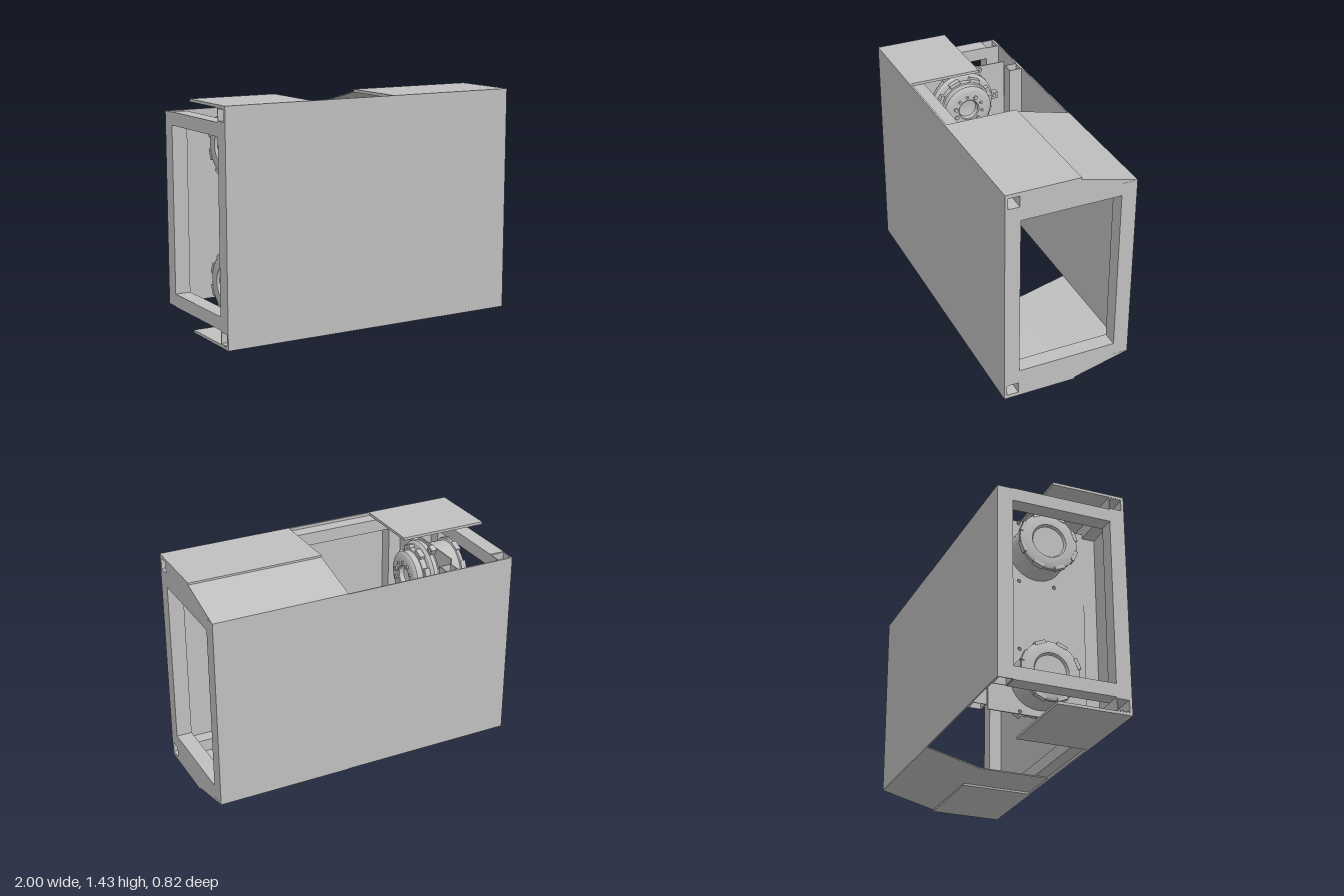
import * as THREE from 'three';
import { toCreasedNormals } from 'three/addons/utils/BufferGeometryUtils.js';

const H = 1.43; // overall height
const MID = H / 2;

export function createModel() {
  const root = new THREE.Group();
  root.name = 'machineEnclosure';
  const metal = new THREE.MeshStandardMaterial({ color: 0xbfbfbf });
  metal.name = 'bareMetal';

  const add = (name, geo, parent = root) => {
    const m = new THREE.Mesh(geo, metal);
    m.name = name;
    parent.add(m);
    return m;
  };

  // Box given by its limits
  const box = (name, x0, x1, y0, y1, z0, z1, parent) => {
    const g = new THREE.BoxGeometry(x1 - x0, y1 - y0, z1 - z0);
    g.translate((x0 + x1) / 2, (y0 + y1) / 2, (z0 + z1) / 2);
    return add(name, g, parent);
  };

  const rect = (w, h, P = THREE.Shape) => {
    const p = new P();
    p.moveTo(-w / 2, -h / 2);
    p.lineTo(w / 2, -h / 2);
    p.lineTo(w / 2, h / 2);
    p.lineTo(-w / 2, h / 2);
    p.closePath();
    return p;
  };

  const circleHole = (x, y, r) => {
    const p = new THREE.Path();
    p.absarc(x, y, r, 0, Math.PI * 2, true);
    return p;
  };

  // Extrude a (-z, y) section along x, from x0 to x1
  const extrudeX = (shape, x0, x1, seg = 12) => {
    const g = new THREE.ExtrudeGeometry(shape, { depth: x1 - x0, bevelEnabled: false, curveSegments: seg });
    g.rotateY(Math.PI / 2);
    g.translate(x0, 0, 0);
    return g;
  };

  // Hollow rectangular tube along an axis, given by its limits
  const tube = (name, axis, lo, hi, wall = 0.006) => {
    const size = lo.map((v, i) => hi[i] - v);
    const c = lo.map((v, i) => (hi[i] + v) / 2);
    const [w, h, len] = axis === 'x' ? [size[2], size[1], size[0]]
      : axis === 'y' ? [size[0], size[2], size[1]] : size;
    const s = rect(w, h);
    s.holes.push(rect(w - 2 * wall, h - 2 * wall, THREE.Path));
    const g = new THREE.ExtrudeGeometry(s, { depth: len, bevelEnabled: false });
    g.translate(0, 0, -len / 2);
    if (axis === 'x') g.rotateY(Math.PI / 2);
    if (axis === 'y') g.rotateX(-Math.PI / 2);
    g.translate(...c);
    add(name, g);
  };

  // Large skins
  box('frontPanel', -1, 1, 0, H, 0.4, 0.412);
  box('backPanel', -1, 1, 0.105, 1.325, -0.412, -0.404);

  // Long front rails, top and bottom
  tube('topFrontRail', 'x', [-1, 1.33, 0.315], [1, 1.412, 0.4]);
  tube('bottomFrontRail', 'x', [-1, 0.018, 0.315], [1, 0.1, 0.4]);

  // End frames
  for (const s of [-1, 1]) {
    const x0 = s < 0 ? -1 : 0.9, x1 = x0 + 0.1;
    tube('frontPost', 'y', [x0, 0.1, 0.315], [x1, 1.33, 0.4]);
    tube('backPost', 'y', [x0, 0.105, -0.404], [x1, 1.325, -0.315]);
    tube('topCrossTube', 'z', [x0, 1.245, -0.315], [x1, 1.328, 0.315]);
    tube('bottomCrossTube', 'z', [x0, 0.102, -0.315], [x1, 0.185, 0.315]);
  }

  // Inner frame carrying the motors
  tube('innerBackPost', 'y', [-0.615, 0.105, -0.404], [-0.53, 1.325, -0.318]);
  tube('innerFrontPost', 'y', [-0.615, 0.1, 0.315], [-0.53, 1.33, 0.4]);
  tube('middleCrossTube', 'z', [-0.615, 0.67, -0.315], [-0.53, 0.76, 0.315]);

  // Covers, mirrored top and bottom (up = 1 or -1)
  for (const up of [1, -1]) {
    const Y = (y) => (up > 0 ? y : H - y);
    const flat = (name, x0, x1) => box(name, x0, x1, Math.min(Y(H), Y(1.413)), Math.max(Y(H), Y(1.413)), -0.055, 0.4);
    flat('shortCover', -1, -0.43);
    flat('longCover', up > 0 ? 0.14 : 0.43, 1);
    const section = (pts) => new THREE.Shape(pts.map(([z, y]) => new THREE.Vector2(-z, Y(y))));
    // Bent sheet: flat run, then a slope to the back panel
    add('slopedCover', extrudeX(section([
      [0.4, 1.418], [-0.055, 1.418], [-0.412, 1.328],
      [-0.412, 1.322], [-0.055, 1.411], [0.4, 1.411]]), 0.14, 1));
    // Folded flange closing the outer end
    add('coverEndFlange', extrudeX(section([
      [0.315, 1.414], [-0.055, 1.414], [-0.41, 1.326], [0.315, 1.326]]), 0.992, 1));
  }

  // Motor mounting plate with through holes
  const motorY = [0.29, 1.14];
  const hexBolts = [...Array(6)].map((_, i) => [
    0.23 * Math.cos(i * Math.PI / 3), 0.23 * Math.sin(i * Math.PI / 3)]);
  const plate = new THREE.Shape([[-0.315, 0.075], [0.315, 0.075], [0.315, 1.355], [-0.315, 1.355]]
    .map((p) => new THREE.Vector2(...p)));
  for (const y of motorY) {
    plate.holes.push(circleHole(0, y, 0.17));
    for (const [a, b] of hexBolts) plate.holes.push(circleHole(a, y + b, 0.011));
  }
  add('motorPlate', extrudeX(plate, -0.622, -0.614));

  // Solid of revolution about x; profile rows are [radius, x]
  const latheX = (pts, seg = 48) => {
    const g = new THREE.LatheGeometry(pts.map((p) => new THREE.Vector2(...p)), seg);
    g.rotateZ(-Math.PI / 2);
    return toCreasedNormals(g, 0.6);
  };

  const buildMotor = (y) => {
    const motor = new THREE.Group();
    motor.name = 'motor';
    motor.position.y = y;
    root.add(motor);

    // Body with a stepped rear cap and a dished hub
    add('motorBody', latheX([
      [0, -0.80], [0.1, -0.80], [0.11, -0.815], [0.17, -0.815], [0.185, -0.805], [0.185, -0.785],
      [0.175, -0.78], [0.175, -0.62], [0.2, -0.614], [0.21, -0.6], [0.21, -0.575], [0.195, -0.56],
      [0.168, -0.555], [0.168, -0.52]]), motor);
    add('hubDisc', latheX([
      [0.168, -0.535], [0.168, -0.525], [0.158, -0.52], [0.158, -0.48], [0.15, -0.472], [0.12, -0.465],
      [0.07, -0.465], [0.064, -0.47], [0.06, -0.5], [0, -0.515]]), motor);

    // Ears with through holes
    hexBolts.forEach(([a, b], i) => {
      const ear = rect(0.06, 0.044);
      ear.holes.push(circleHole(0.008, 0, 0.011));
      const g = new THREE.ExtrudeGeometry(ear, { depth: 0.035, bevelEnabled: false });
      g.translate(-0.008, 0, 0);
      g.rotateZ(i * Math.PI / 3);
      g.translate(a, b, 0);
      g.rotateY(Math.PI / 2);
      g.translate(-0.614, 0, 0);
      add('mountingEar', g, motor);
    });

    // Ring of hub bolts
    for (let i = 0; i < 10; i++) {
      const t = (i / 10) * Math.PI * 2 + 0.2;
      const r = i % 3 === 0 ? 0.013 : 0.009;
      const g = new THREE.CylinderGeometry(r, r, 0.014, 12);
      g.rotateZ(-Math.PI / 2);
      g.translate(-0.461, 0.092 * Math.sin(t), 0.092 * Math.cos(t));
      add('hubBolt', g, motor);
    }

    // Clamping lugs around the flange and the rear cap
    for (let i = 0; i < 8; i++) {
      for (const [r, x, name] of [[0.178, -0.54, 'flangeLug'], [0.178, -0.8, 'rearLug']]) {
        const g = new THREE.BoxGeometry(0.034, 0.022, 0.07);
        g.translate(x, r, 0);
        g.rotateX((i + 0.5) * Math.PI / 4);
        add(name, g, motor);
      }
    }
  };
  motorY.forEach(buildMotor);

  root.position.y = 0;
  return root;
}
